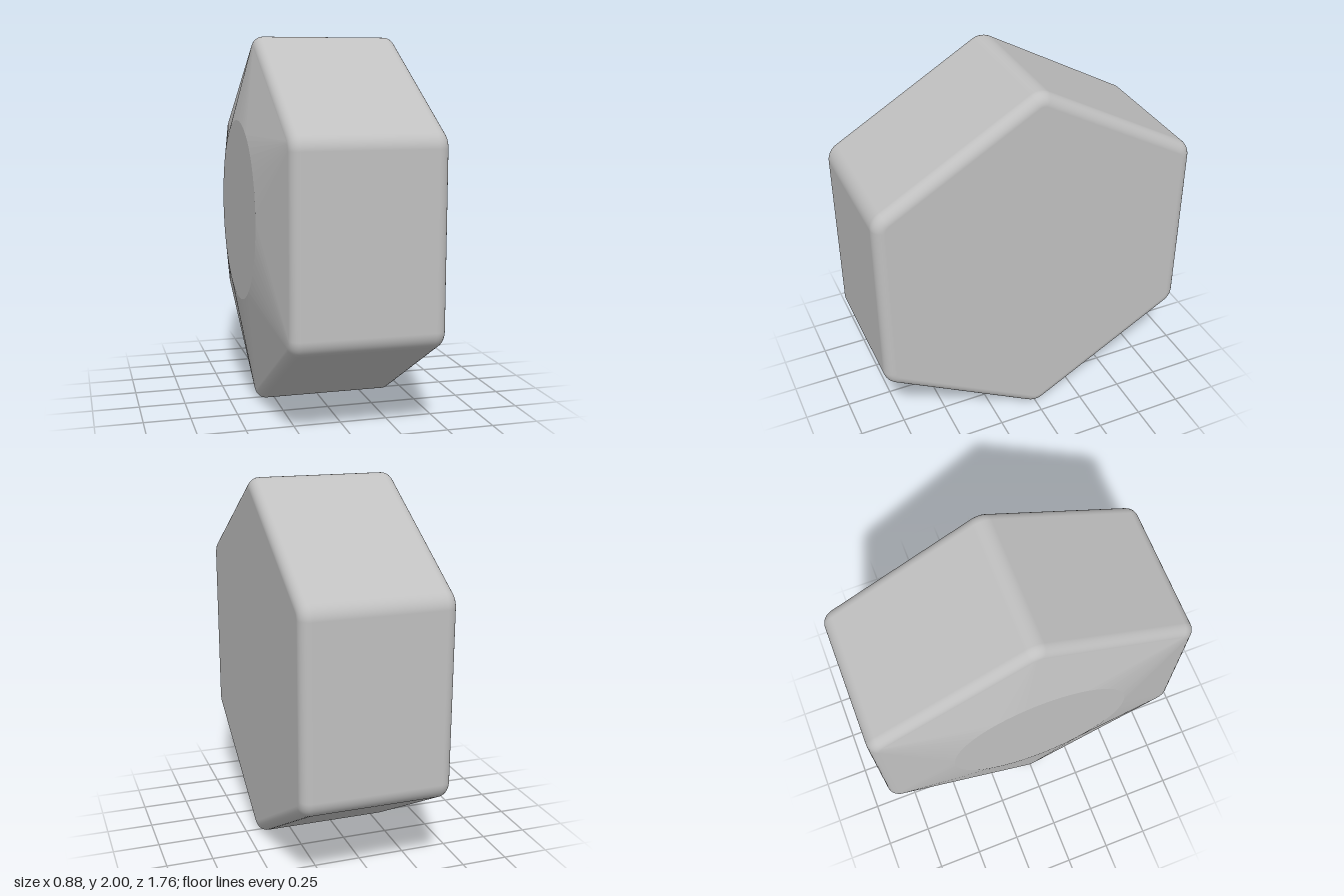
import * as THREE from 'three';

const STEPS = 10;            // arc steps on each hexagon corner
const CORNER = 0.1;          // corner radius
const CORNER_DIST = 0.9;     // corner arc centre to axis
const BEVEL = 0.06;
const CY = 1;

// Rounded hexagon around the x axis, one vertex pointing up
function hexRing(x, inset, tilt) {
  const ring = [];
  for (let c = 0; c < 6; c++) {
    const mid = c * Math.PI / 3;
    for (let k = 0; k <= STEPS; k++) {
      const a = mid + (k / STEPS - 0.5) * Math.PI / 3;
      const r = CORNER - inset;
      ring.push({
        p: [x, CY + CORNER_DIST * Math.cos(mid) + r * Math.cos(a), CORNER_DIST * Math.sin(mid) + r * Math.sin(a)],
        n: [Math.sin(tilt), Math.cos(tilt) * Math.cos(a), Math.cos(tilt) * Math.sin(a)],
      });
    }
  }
  return ring;
}

// Circle with the same number of points; neighbouring corners share a point
function discRing(x, cy, radius) {
  const ring = [];
  for (let c = 0; c < 6; c++) {
    for (let k = 0; k <= STEPS; k++) {
      const a = (c + k / STEPS - 0.5) * Math.PI / 3;
      ring.push({ p: [x, cy + radius * Math.cos(a), radius * Math.sin(a)], n: [-1, 0, 0] });
    }
  }
  return ring;
}

// Skin over rings ordered from +x to -x
function loft(rings) {
  const count = rings[0].length, index = [];
  for (let i = 0; i < rings.length - 1; i++) {
    for (let j = 0; j < count; j++) {
      const a = i * count + j, b = i * count + (j + 1) % count;
      index.push(a, a + count, b, b, a + count, b + count);
    }
  }
  const g = new THREE.BufferGeometry();
  g.setAttribute('position', new THREE.Float32BufferAttribute(rings.flat().flatMap(v => v.p), 3));
  g.setAttribute('normal', new THREE.Float32BufferAttribute(rings.flat().flatMap(v => v.n), 3));
  g.setIndex(index);
  return g;
}

// Flat end filling a ring, facing along side * x
function cap(ring, cy, side) {
  const x = ring[0].p[0], index = [];
  const pos = [x, cy, 0, ...ring.flatMap(v => v.p)];
  for (let j = 0; j < ring.length; j++) {
    const a = j + 1, b = (j + 1) % ring.length + 1;
    index.push(0, side > 0 ? a : b, side > 0 ? b : a);
  }
  const g = new THREE.BufferGeometry();
  g.setAttribute('position', new THREE.Float32BufferAttribute(pos, 3));
  g.setAttribute('normal', new THREE.Float32BufferAttribute(Array(ring.length + 1).fill([side, 0, 0]).flat(), 3));
  g.setIndex(index);
  return g;
}

export function createModel() {
  const group = new THREE.Group();
  group.name = 'hexHead';
  const steel = new THREE.MeshStandardMaterial({ color: 0xc0c0c0 });
  steel.name = 'plainGrey';
  const add = (name, geometry) => {
    const mesh = new THREE.Mesh(geometry, steel);
    mesh.name = name;
    group.add(mesh);
  };

  // Hexagonal sides with a rounded edge at each end
  const rings = [], n = 8, end = THREE.MathUtils.degToRad(77);
  const bevelRing = (centre, t) => hexRing(centre + BEVEL * Math.sin(t), BEVEL * (1 - Math.cos(t)), t);
  for (let i = n; i >= 0; i--) rings.push(bevelRing(0.38, i / n * Math.PI / 2));
  for (let i = 0; i <= n; i++) rings.push(bevelRing(-0.295, -i / n * end));
  add('hexSides', loft(rings));

  // Flat face on one end
  add('flatFace', cap(rings[0], CY, 1));

  // Sloped faces running up to a raised round face, set slightly high
  const disc = discRing(-0.44, CY + 0.07, 0.487);
  const slope = loft([rings[rings.length - 1], disc]).toNonIndexed();
  slope.computeVertexNormals();
  add('chamfer', slope);
  add('roundFace', cap(disc, CY + 0.07, -1));
  return group;
}
